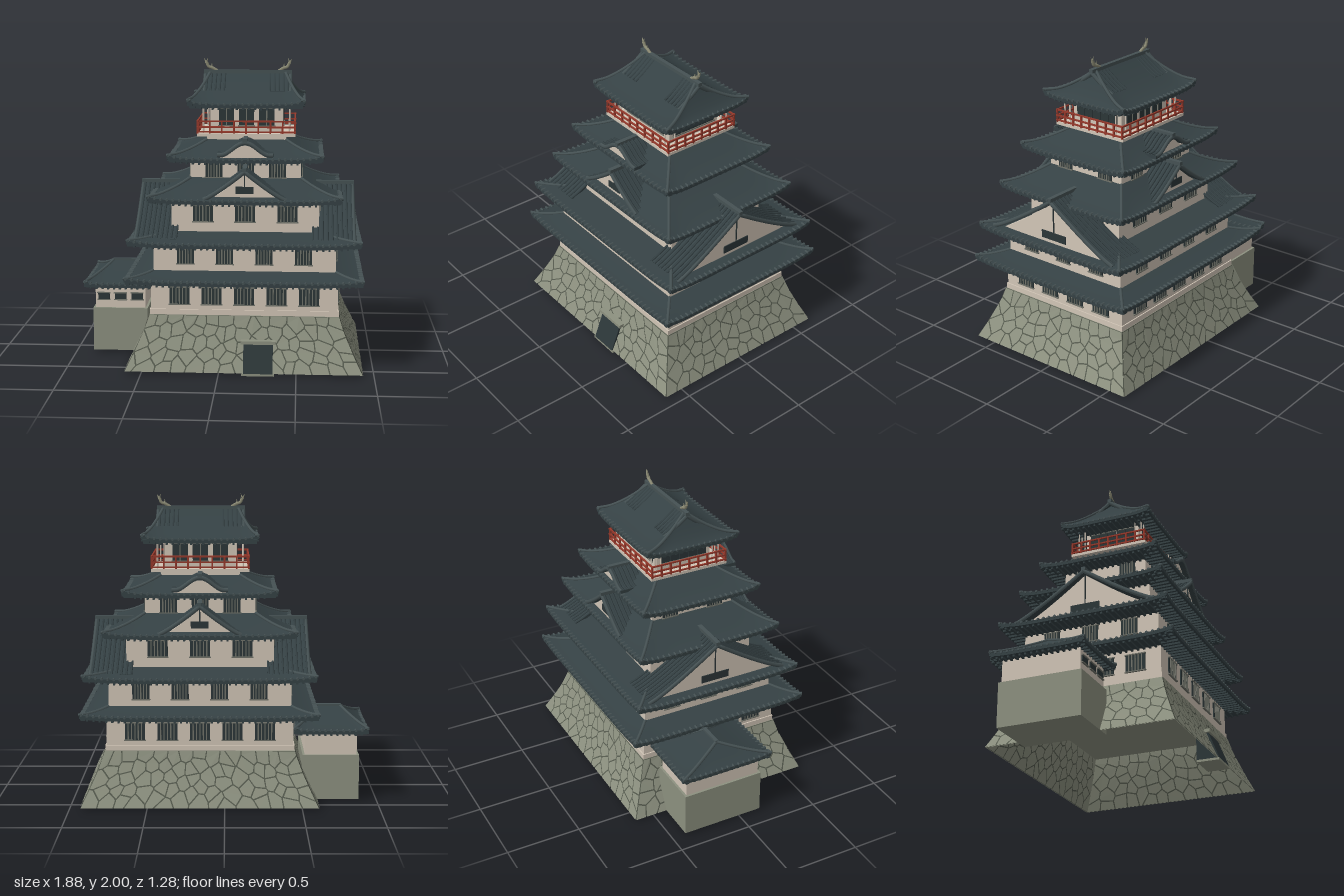
import * as THREE from 'three';
import { mergeGeometries } from 'three/addons/utils/BufferGeometryUtils.js';

const mat = (name, color, side = THREE.FrontSide) => new THREE.MeshStandardMaterial({ name, color, side });
const M = {
  plaster: mat('plaster', 0xd2c6b7), trim: mat('ridgeTile', 0x465254), dark: mat('darkOpening', 0x2c3638),
  lattice: mat('lattice', 0x71736a), red: mat('redLacquer', 0x97392b), bronze: mat('bronze', 0x8b8a74),
  tile: mat('roofTile', 0x354144, THREE.DoubleSide), stone: mat('stone', 0x8d9180, THREE.DoubleSide),
  mortar: mat('mortar', 0x555a4e, THREE.DoubleSide),
};
const lerp = THREE.MathUtils.lerp;
const boxGeo = (w, h, d, x = 0, y = 0, z = 0) => new THREE.BoxGeometry(w, h, d).translate(x, y, z);
const tube = (pts, r, seg = 12, rad = 6) =>
  new THREE.TubeGeometry(new THREE.CatmullRomCurve3(pts.map(p => new THREE.Vector3(...p))), seg, r, rad);
const shape = pts => new THREE.Shape(pts.map(p => new THREE.Vector2(...p)));

function add(parent, name, geo, material) {
  const m = new THREE.Mesh(geo, material);
  m.name = name;
  parent.add(m);
  return m;
}
// Group turned by quarter turns: local +z becomes the outward direction of a side
function group(parent, name, turn = 0) {
  const g = new THREE.Group();
  g.name = name;
  g.rotation.y = turn * Math.PI / 2;
  parent.add(g);
  return g;
}
// Smooth surface from a rule f(u, v) -> [x, y, z]
function grid(nu, nv, f) {
  const pos = [], idx = [], w = nu + 1;
  for (let j = 0; j <= nv; j++) for (let i = 0; i <= nu; i++) pos.push(...f(i / nu, j / nv));
  for (let j = 0; j < nv; j++) for (let i = 0; i < nu; i++) {
    const a = j * w + i;
    idx.push(a, a + 1, a + w + 1, a, a + w + 1, a + w);
  }
  const g = new THREE.BufferGeometry();
  g.setAttribute('position', new THREE.Float32BufferAttribute(pos, 3));
  g.setIndex(idx);
  g.computeVertexNormals();
  return g;
}

// Hipped roof: half sizes of the eave (o), upper edge (i) and wall below (w)
function hipRoof(parent, name, o, i, w, y0, y1, lift = 0.025, power = 1.35) {
  const th = 0.024, rise = s => lift * Math.abs(s) ** 7;
  for (let k = 0; k < 4; k++) {
    const g = group(parent, name, k), p = k % 2, q = 1 - p;
    const f = (s, t) => [s * lerp(o[p], i[p], t), y0 + (y1 - y0) * t ** power + rise(s) * (1 - t) ** 2, lerp(o[q], i[q], t)];
    add(g, 'roofSlope', grid(20, 6, (u, v) => f(2 * u - 1, v)), M.tile);
    add(g, 'fascia', grid(20, 1, (u, v) => {
      const [x, y, z] = f(2 * u - 1, 0);
      return [x, y - th * (1 - v), z];
    }), M.tile);
    add(g, 'soffit', grid(20, 1, (u, v) => {
      const s = 2 * u - 1;
      return [s * lerp(w[p], o[p], v), y0 - th + rise(s) * v, lerp(w[q], o[q], v)];
    }), M.tile);
    // rafters below and round tile ends along the eave
    const rafters = [], ends = [], n = Math.round(o[p] * 2 / 0.04);
    for (let j = 0; j <= n; j++) {
      const s = (2 * j / n - 1) * 0.985, y = y0 + rise(s), x = s * o[p];
      const inner = Math.max(w[q], o[q] - (o[p] - Math.abs(x)) - 0.03);
      rafters.push(boxGeo(0.013, 0.014, o[q] - inner - 0.012, x, y - th - 0.006, (inner + o[q] - 0.012) / 2));
      ends.push(new THREE.CylinderGeometry(0.009, 0.009, 0.03, 6).rotateX(Math.PI / 2).translate(x, y, o[q] - 0.01));
    }
    add(g, 'rafters', mergeGeometries(rafters), M.tile);
    add(g, 'eaveTileEnds', mergeGeometries(ends), M.trim);
    add(g, 'hipRidge', tube([0, 0.25, 0.5, 0.75, 1].map(t => f(1, t)), 0.011), M.trim);
  }
}

// Gable from z0 (inner) to z1 (outer); rule(u) gives its height as 0..1
function gable(parent, name, half, y0, y1, z0, z1, turn, rule, vent) {
  const g = group(parent, name, turn), n = 20, th = 0.022, rows = Math.round((z1 - z0) / 0.03), tiles = [];
  const line = (d, k = 1) => Array.from({ length: n + 1 }, (_, i) => 2 * i / n - 1)
    .map(u => [u * half * k, y0 + (y1 - y0) * rule(u) + d]);
  const solid = (pts, depth) =>
    new THREE.ExtrudeGeometry(shape(pts), { depth, bevelEnabled: false }).translate(0, 0, z0);
  const rib = (z, d, r) => tube(line(d).map(([x, y]) => [x, y, z]), r, 20, 5);
  add(g, 'gableRoof', solid([...line(0), ...line(-th).reverse()], z1 - z0), M.tile);
  add(g, 'gableFace', solid([[-half * 0.94, y0 - 0.035], ...line(-th, 0.94), [half * 0.94, y0 - 0.035]], z1 - z0 - 0.035), M.plaster);
  for (let r = 0; r < rows; r++) tiles.push(rib(lerp(z0, z1 - 0.02, r / (rows - 1)), 0.002, 0.008));
  add(g, 'tileRows', mergeGeometries(tiles), M.tile);
  add(g, 'verge', rib(z1 - 0.006, -0.006, 0.014), M.trim);
  add(g, 'gableRidge', boxGeo(0.028, 0.024, z1 - z0 + 0.01, 0, y1 + 0.008, (z0 + z1) / 2), M.trim);
  if (!vent) return;
  const [vw, vy, vh] = vent;
  add(g, 'vent', boxGeo(vw, vh, 0.008, 0, vy, z1 - 0.033), M.dark);
  add(g, 'pendant', boxGeo(0.007, y1 - vy - 0.03, 0.006, 0, (y1 + vy) / 2, z1 - 0.032), M.dark);
}

// Row of barred windows on one side
function windowRow(parent, turn, z, y, n, gap, w, h, bars = 5) {
  const g = group(parent, 'windows', turn), panes = [], frames = [];
  for (let i = 0; i < n; i++) {
    const x = (i - (n - 1) / 2) * gap;
    panes.push(boxGeo(w, h, 0.008, x, y, z + 0.003));
    for (let b = 1; b <= bars; b++) frames.push(boxGeo(0.007, h, 0.008, x + (b / (bars + 1) - 0.5) * w, y, z + 0.008));
    for (const s of [-1, 1]) frames.push(boxGeo(w + 0.012, 0.007, 0.012, x, y + s * h / 2, z + 0.007));
  }
  add(g, 'windowPanes', mergeGeometries(panes), M.dark);
  add(g, 'windowBars', mergeGeometries(frames), M.lattice);
}

// Hollow battered base: irregular stone cells on both sides of sloping mortar panels
function stoneBase(parent) {
  let seed = 7;
  const jitter = () => ((seed = (seed * 16807) % 2147483647) / 2147483647 - 0.5) * 0.75;
  const yb = 0.015, yt = 0.36, top = [0.615, 0.5], bot = [0.765, 0.633], ny = 5;
  const half = (q, y) => top[q] + (bot[q] - top[q]) * Math.max(0, (yt - y) / (yt - yb)) ** 1.2;
  for (let k = 0; k < 4; k++) {
    const g = group(parent, 'stoneWall', k), p = k % 2, q = 1 - p, W = (top[p] + bot[p]) / 2;
    const at = (a, y, off) => [a / W * half(p, y), y, half(q, y) + off];
    add(g, 'mortar', grid(1, 8, (u, v) => at((2 * u - 1) * W, lerp(yb, yt, v), 0)), M.mortar);
    const nx = p ? 12 : 15, sites = [], pos = [];
    for (let j = 0; j < ny; j++) for (let i = 0; i < nx; i++) sites.push([
      ((i + 0.5 + (j % 2 - 0.5) * 0.4 + jitter()) / nx * 2 - 1) * W, lerp(yb, yt, (j + 0.5 + jitter()) / ny)]);
    for (const c of sites) {
      // trim the panel down to the cell around this site
      let poly = [[-W, yb], [W, yb], [W, yt], [-W, yt]];
      for (const d of sites) {
        const dx = d[0] - c[0], dy = d[1] - c[1], L = Math.hypot(dx, dy);
        if (d === c || L > 0.35) continue;
        const dist = v => ((v[0] - c[0]) * dx + (v[1] - c[1]) * dy) / L - L / 2 + 0.004;
        poly = poly.flatMap((v, i) => {
          const next = poly[(i + 1) % poly.length], a = dist(v), b = dist(next), out = a <= 0 ? [v] : [];
          if (a * b < 0) out.push([lerp(v[0], next[0], a / (a - b)), lerp(v[1], next[1], a / (a - b))]);
          return out;
        });
      }
      for (let i = 1; i < poly.length - 1; i++) for (const off of [0.005, -0.005])
        for (const v of off > 0 ? [0, i, i + 1] : [0, i + 1, i]) pos.push(...at(...poly[v], off));
    }
    const geo = new THREE.BufferGeometry();
    geo.setAttribute('position', new THREE.Float32BufferAttribute(pos, 3));
    geo.computeVertexNormals();
    add(g, 'stones', geo, M.stone);
  }
  add(parent, 'baseCap', boxGeo(1.23, 0.012, 1.0, 0, 0.356, 0), M.stone);
  const gate = shape([[0.645, 0.015], [0.573, 0.2], [0.49, 0.2], [0.49, 0.015]]);
  add(parent, 'gateOpening', new THREE.ExtrudeGeometry(gate, { depth: 0.19, bevelEnabled: false })
    .rotateY(-Math.PI / 2).translate(0.19, 0, 0), M.dark);
  add(parent, 'gateLintel', boxGeo(0.225, 0.022, 0.09, 0.095, 0.205, 0.545), M.stone);
  add(parent, 'gateSill', boxGeo(0.21, 0.015, 0.15, 0.095, 0.0075, 0.57), M.stone);
}

export function createModel() {
  const root = new THREE.Group(), t = group(root, 'mainTower');
  root.name = 'castle';
  t.position.x = 0.16;
  stoneBase(t);
  // storeys: wall half sizes, bottom, top
  const walls = [[0.605, 0.49, 0.36, 0.6], [0.59, 0.47, 0.6, 0.83], [0.48, 0.37, 0.83, 1.11],
    [0.36, 0.295, 1.11, 1.37], [0.26, 0.21, 1.37, 1.51], [0.235, 0.195, 1.51, 1.72]];
  for (const [x, z, a, b] of walls) add(t, 'storeyWall', boxGeo(2 * x, b - a, 2 * z, 0, (a + b) / 2, 0), M.plaster);
  add(t, 'wallFoot', boxGeo(1.225, 0.035, 0.995, 0, 0.38, 0), M.plaster);
  hipRoof(t, 'firstRoof', [0.765, 0.628], [0.59, 0.47], walls[0], 0.605, 0.65, 0.02);
  hipRoof(t, 'secondRoof', [0.75, 0.588], [0.48, 0.37], walls[1], 0.842, 0.89, 0.025, 1.1);
  hipRoof(t, 'thirdRoof', [0.625, 0.508], [0.36, 0.295], walls[2], 1.113, 1.235);
  hipRoof(t, 'fourthRoof', [0.503, 0.425], [0.26, 0.21], walls[3], 1.37, 1.475);
  hipRoof(t, 'topRoof', [0.38, 0.328], [0.25, 0.004], walls[5], 1.715, 1.9, 0.028, 1.45);
  add(t, 'topRidge', boxGeo(0.52, 0.03, 0.026, 0, 1.9, 0), M.trim);

  // gables and windows in opposite pairs
  const sweep = u => (1 - Math.abs(u)) ** 1.18;
  const wave = u => 0.5 + 0.5 * Math.cos(Math.PI * Math.min(1, Math.abs(u) * 1.12));
  for (const k of [0, 2]) {
    gable(t, 'frontGable', 0.265, 1.125, 1.305, 0.26, 0.49, k, sweep, [0.115, 1.178, 0.045]);
    gable(t, 'curvedGable', 0.18, 1.405, 1.485, 0.2, 0.43, k, wave);
    gable(t, 'sideGable', 0.5, 0.862, 1.158, 0.44, 0.71, k + 1, sweep, [0.2, 0.904, 0.052]);
    gable(t, 'topGable', 0.165, 1.785, 1.895, 0.15, 0.288, k + 1, sweep);
    // storey, y, height, width, then count and spacing on the front and on the side
    for (const [i, y, h, w, nf, gf, ns, gs] of [[0, 0.488, 0.115, 0.13, 5, 0.21, 4, 0.213],
      [1, 0.75, 0.11, 0.11, 4, 0.254, 3, 0.272], [2, 1.01, 0.11, 0.13, 3, 0.275, 2, 0.36],
      [3, 1.293, 0.115, 0.11, 3, 0.207, 2, 0.33]]) {
      windowRow(t, k, walls[i][1], y, nf, gf, w, h);
      windowRow(t, k + 1, walls[i][0], y, ns, gs, w, h);
    }
    windowRow(t, k, walls[5][1], 1.622, 3, 0.132, 0.1, 0.115, 1);
    windowRow(t, k + 1, walls[5][0], 1.622, 5, 0.066, 0.062, 0.115, 0);
  }

  // balcony with red railing and slim posts
  add(t, 'balconyFloor', boxGeo(0.64, 0.02, 0.55, 0, 1.51, 0), M.plaster);
  for (let k = 0; k < 4; k++) {
    const [a, b] = k % 2 ? [0.268, 0.316] : [0.316, 0.268], g = group(t, 'railing', k);
    const rails = [1.53, 1.562, 1.6].map(y => boxGeo(2 * a + 0.015, 0.01, 0.01, 0, y, b));
    for (let i = 0; i < 9; i++) rails.push(boxGeo(0.011, 0.085, 0.011, lerp(-a, a, i / 8), 1.56, b));
    add(g, 'rails', mergeGeometries(rails), M.red);
    for (const x of [0.035 - a, 0.08 - a, a - 0.08, a - 0.035])
      add(g, 'balconyPost', new THREE.CylinderGeometry(0.005, 0.005, 0.19, 8).translate(x, 1.61, b - 0.035), M.plaster);
  }

  // curled fish finials on the ridge ends
  for (const s of [-1, 1]) {
    const f = group(t, 'ridgeFinial');
    add(f, 'finialBody', tube([[s * 0.205, 1.91, 0], [s * 0.235, 1.928, 0], [s * 0.262, 1.938, 0], [s * 0.275, 1.965, 0]], 0.011), M.bronze);
    for (const [x, y, len, tilt] of [[0.272, 1.978, 0.042, 0.35], [0.285, 1.978, 0.034, -0.5], [0.24, 1.945, 0.035, 0]])
      add(f, 'fin', new THREE.ConeGeometry(0.009, len, 6).rotateZ(s * tilt).translate(s * x, y, 0), M.bronze);
  }

  // low annex beside the tower
  const a = group(root, 'annex');
  a.position.set(-0.695, 0, -0.13);
  add(a, 'annexBase', boxGeo(0.37, 0.295, 0.56, 0, 0.1625, 0), M.stone);
  add(a, 'annexWall', boxGeo(0.34, 0.17, 0.53, 0, 0.39, 0), M.plaster);
  windowRow(a, 0, 0.265, 0.39, 3, 0.113, 0.078, 0.048, 0);
  hipRoof(a, 'annexRoof', [0.24, 0.32], [0.08, 0.004], [0.17, 0.265], 0.482, 0.585, 0.015, 1.2);
  add(a, 'annexRidge', boxGeo(0.17, 0.022, 0.024, 0, 0.586, 0), M.trim);
  return root;
}
